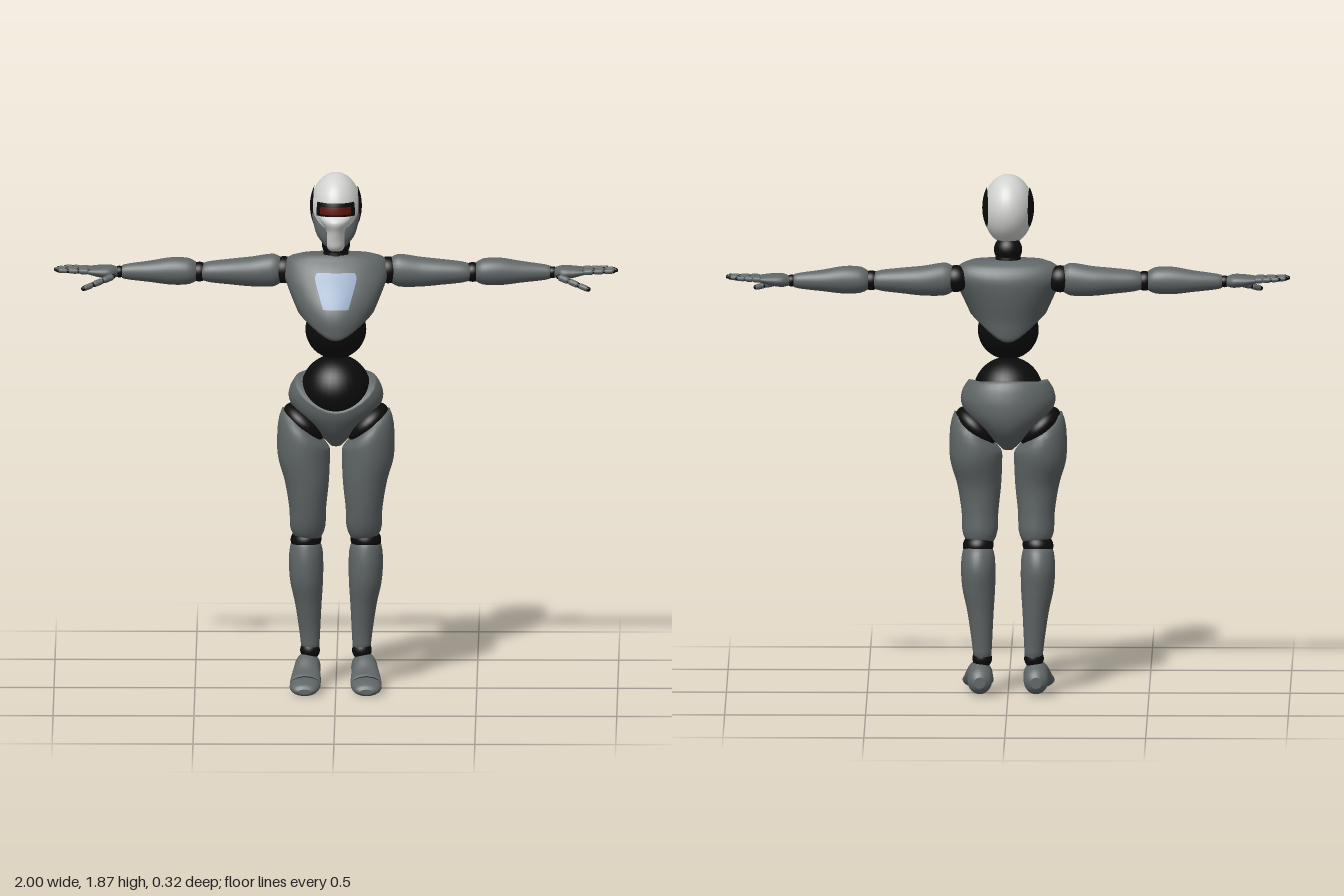
import * as THREE from 'three';

const paint = (name, color) => Object.assign(new THREE.MeshStandardMaterial({ color }), { name });
const grey = paint('armourGrey', 0x5f6566);
const black = paint('jointBlack', 0x0b0b0b);
const white = paint('helmetWhite', 0xd2d2d0);
const red = paint('visorRed', 0x5c120c);
const blue = paint('chestBlue', 0x8fa5c0);

const SIDES = 32;

// Smooth interpolation of a table of sections keyed on their first value
function sample(secs, t) {
  const n = secs.length;
  let i = 0;
  while (i < n - 2 && t > secs[i + 1][0]) i++;
  const a = secs[i], b = secs[i + 1], h = b[0] - a[0];
  const u = THREE.MathUtils.clamp((t - a[0]) / h, 0, 1);
  const slope = (k, c) => {
    const p = secs[Math.max(k - 1, 0)], q = secs[Math.min(k + 1, n - 1)];
    return ((q[c] ?? 0) - (p[c] ?? 0)) / (q[0] - p[0]);
  };
  const u2 = u * u, u3 = u2 * u;
  return [0, 1, 2, 3, 4, 5].map((c) => (2 * u3 - 3 * u2 + 1) * (a[c] ?? 0) + (3 * u2 - 2 * u3) * (b[c] ?? 0)
    + (u3 - 2 * u2 + u) * h * slope(i, c) + (u3 - u2) * h * slope(i + 1, c));
}

// Skin closed rings of points, closing both ends
function skin(rings) {
  const shrink = (ring, s) => {
    const c = ring.reduce((m, p) => m.add(p), new THREE.Vector3()).divideScalar(ring.length);
    return ring.map((p) => p.clone().lerp(c, 1 - s));
  };
  const first = rings[0], last = rings[rings.length - 1];
  const rows = [shrink(first, 0), shrink(first, 0.85), ...rings, shrink(last, 0.85), shrink(last, 0)];
  const index = [];
  for (let r = 0; r < rows.length - 1; r++) for (let j = 0; j < SIDES; j++) {
    const k = (j + 1) % SIDES, a = r * SIDES, b = a + SIDES;
    index.push(a + j, b + j, a + k, b + j, b + k, a + k);
  }
  const geo = new THREE.BufferGeometry().setFromPoints(rows.flat());
  geo.setIndex(index);
  geo.computeVertexNormals();
  return geo;
}

const ring = (fn) => Array.from({ length: SIDES }, (_, j) => fn((j / SIDES) * Math.PI * 2));

// Limb along an axis; sections: [position, centreA, centreB, radiusA, radiusB, tilt]
function loft(axis, secs, steps = 22) {
  const t0 = secs[0][0], t1 = secs[secs.length - 1][0];
  return skin(Array.from({ length: steps + 1 }, (_, i) => {
    const [t, ca, cb, ra, rb, tilt] = sample(secs, t0 + ((t1 - t0) * i) / steps);
    return ring((q) => {
      const a = ca + ra * Math.cos(q), b = cb + rb * Math.sin(axis === 'y' ? q : -q);
      if (axis === 'x') return new THREE.Vector3(t, a, b);
      if (axis === 'z') return new THREE.Vector3(a, b, t);
      return new THREE.Vector3(a, t + tilt * (a - ca), b);
    });
  }));
}

// Body shell with curved rims; sections: [y, centreZ, halfWidth, frontDepth, backDepth]
function shell(secs, bottom, top, steps = 22) {
  return skin(Array.from({ length: steps + 1 }, (_, i) => ring((q) => {
    const s = Math.sin(q), y = THREE.MathUtils.lerp(bottom(s), top(s), i / steps);
    const [, cz, rx, rf, rb] = sample(secs, y);
    return new THREE.Vector3(rx * Math.cos(q), y, cz + (s > 0 ? rf : rb) * s);
  })));
}

const ball = (x, y, z, rx, ry = rx, rz = rx, roll = 0) =>
  new THREE.SphereGeometry(1, 32, 24).scale(rx, ry, rz).rotateZ(roll).translate(x, y, z);

// Rounded bar between two points
function bar(p, q, r) {
  const dir = q.clone().sub(p);
  const turn = new THREE.Quaternion().setFromUnitVectors(new THREE.Vector3(0, 1, 0), dir.clone().normalize());
  const mid = p.clone().add(q).multiplyScalar(0.5);
  return new THREE.CapsuleGeometry(r, dir.length(), 4, 12).applyQuaternion(turn).translate(mid.x, mid.y, mid.z);
}

function mirrored(geo) {
  const m = geo.clone().scale(-1, 1, 1), ix = m.index.array;
  for (let i = 0; i < ix.length; i += 3) [ix[i], ix[i + 1]] = [ix[i + 1], ix[i]];
  return m;
}

export function createModel() {
  const model = new THREE.Group();
  model.name = 'robotFigure';
  const add = (name, geo, mat) => {
    const mesh = new THREE.Mesh(geo, mat);
    mesh.name = name;
    model.add(mesh);
  };
  const pair = (name, geo, mat) => {
    add(name + 'Left', geo, mat);
    add(name + 'Right', mirrored(geo), mat);
  };

  // Head: cranium, mask, cheeks, visor and ear covers
  add('cranium', ball(0, 1.74, -0.006, 0.09, 0.125, 0.125), white);
  add('faceMask', loft('y', [[1.6, 0, 0.07, 0.024, 0.03], [1.612, 0, 0.07, 0.032, 0.043], [1.64, 0, 0.07, 0.035, 0.05],
    [1.675, 0, 0.07, 0.036, 0.06], [1.71, 0, 0.06, 0.058, 0.081], [1.735, 0, 0.045, 0.07, 0.068],
    [1.755, 0, 0.03, 0.055, 0.045]]), white);
  add('cheeks', loft('y', [[1.615, 0, 0.06, 0.04, 0.035], [1.65, 0, 0.055, 0.066, 0.045], [1.7, 0, 0.045, 0.081, 0.05],
    [1.735, 0, 0.035, 0.085, 0.042], [1.76, 0, 0.025, 0.08, 0.03]]), grey);
  const visor = (half, low, high, grow) => new THREE.SphereGeometry(1, 24, 6, Math.PI / 2 - half, half * 2,
    Math.acos((high - 1.74) / 0.125), Math.acos((low - 1.74) / 0.125) - Math.acos((high - 1.74) / 0.125))
    .scale(0.09 + grow, 0.125 + grow, 0.125 + grow).translate(0, 1.74, -0.006);
  add('visor', visor(0.82, 1.728, 1.776, 0.003), black);
  add('visorGlow', visor(0.62, 1.736, 1.762, 0.005), red);
  pair('earCover', new THREE.SphereGeometry(1, 32, 8, 0, Math.PI * 2, 0, 0.6).rotateZ(-Math.PI / 2).rotateY(0.1)
    .scale(0.092, 0.127, 0.127).translate(0, 1.746, -0.006), black);
  add('neck', ball(0, 1.6, -0.038, 0.05), black);
  add('neckBase', new THREE.CylinderGeometry(0.042, 0.05, 0.07, 32).translate(0, 1.56, -0.038), black);

  // Torso
  const torso = [[1.26, 0.01, 0.09, 0.125, 0.11], [1.3, 0.01, 0.105, 0.135, 0.12], [1.35, 0.01, 0.128, 0.138, 0.127],
    [1.4, 0, 0.15, 0.133, 0.13], [1.46, -0.03, 0.175, 0.125, 0.112], [1.5, -0.055, 0.188, 0.118, 0.088],
    [1.53, -0.06, 0.183, 0.1, 0.072], [1.553, -0.055, 0.165, 0.072, 0.058], [1.566, -0.045, 0.125, 0.05, 0.042]];
  add('torso', shell(torso, (s) => 1.37 - (s > 0 ? 0.086 : 0.095) * s * s, () => 1.566), grey);
  const panel = new THREE.PlaneGeometry(2, 1, 12, 8), pos = panel.attributes.position;
  for (let i = 0; i < pos.count; i++) {
    const v = pos.getY(i) + 0.5, y = 1.395 + v * 0.118;
    const x = pos.getX(i) * (0.045 + 0.03 * Math.min(v, 0.85) - 0.06 * Math.max(v - 0.85, 0) + 0.006 * v);
    const [, cz, rx, rf] = sample(torso, y);
    pos.setXYZ(i, x, y, cz + rf * Math.sqrt(1 - (x / rx) ** 2) + 0.004);
  }
  panel.computeVertexNormals();
  add('chestPanel', panel, blue);

  // Waist joints and pelvis
  add('upperWaist', ball(0, 1.303, 0.016, 0.108, 0.105, 0.112), black);
  add('lowerWaist', ball(0, 1.083, 0, 0.124, 0.124, 0.13), black);
  add('pelvis', shell([[0.88, -0.01, 0.02, 0.035, 0.04], [0.91, -0.012, 0.05, 0.07, 0.085], [0.95, -0.015, 0.092, 0.105, 0.12],
    [1, -0.015, 0.142, 0.13, 0.14], [1.05, -0.015, 0.167, 0.135, 0.142], [1.09, -0.015, 0.163, 0.13, 0.135],
    [1.12, -0.015, 0.147, 0.12, 0.125], [1.14, -0.015, 0.13, 0.11, 0.112]],
    () => 0.88, (s) => 1.13 - (s > 0 ? 0.11 : -0.01) * s * s), grey);

  // Legs
  pair('hipJoint', ball(0.112, 0.962, -0.01, 0.088, 0.05, 0.098, 0.7), black);
  pair('thigh', loft('y', [[0.55, 0.102, -0.014, 0.05, 0.055, 0.1], [0.58, 0.1, -0.01, 0.062, 0.068],
    [0.65, 0.1, 0, 0.065, 0.077], [0.75, 0.103, 0.005, 0.078, 0.088], [0.85, 0.114, -0.005, 0.093, 0.108],
    [0.92, 0.115, -0.005, 0.09, 0.106, 0.5], [0.952, 0.115, -0.005, 0.076, 0.09, 0.8]]), grey);
  pair('kneeJoint', ball(0.106, 0.535, -0.022, 0.055, 0.045, 0.063, -0.15), black);
  pair('calf', loft('y', [[0.14, 0.091, -0.04, 0.032, 0.033], [0.2, 0.093, -0.04, 0.037, 0.039], [0.3, 0.098, -0.035, 0.047, 0.057],
    [0.38, 0.104, -0.03, 0.058, 0.075], [0.45, 0.106, -0.031, 0.061, 0.082], [0.5, 0.106, -0.028, 0.058, 0.074],
    [0.53, 0.107, -0.024, 0.05, 0.062]]), grey);
  pair('ankleJoint', ball(0.092, 0.13, -0.038, 0.035), black);
  pair('foot', loft('z', [[-0.112, 0.1, 0.052, 0.022, 0.022], [-0.095, 0.1, 0.053, 0.04, 0.042], [-0.04, 0.1, 0.066, 0.046, 0.058],
    [0, 0.103, 0.064, 0.047, 0.05], [0.045, 0.106, 0.044, 0.053, 0.036], [0.085, 0.108, 0.035, 0.055, 0.028]]), grey);
  pair('toeJoint', ball(0.108, 0.033, 0.09, 0.052, 0.026, 0.02), black);
  pair('toe', loft('z', [[0.097, 0.108, 0.031, 0.055, 0.028], [0.13, 0.11, 0.026, 0.052, 0.026],
    [0.155, 0.11, 0.021, 0.041, 0.019], [0.165, 0.11, 0.018, 0.026, 0.01]]), grey);

  // Arms
  pair('shoulderJoint', ball(0.185, 1.5, -0.07, 0.048), black);
  pair('upperArm', loft('x', [[0.195, 1.5, -0.07, 0.045, 0.04], [0.22, 1.499, -0.07, 0.058, 0.05], [0.3, 1.493, -0.073, 0.053, 0.052],
    [0.38, 1.493, -0.07, 0.045, 0.048], [0.45, 1.493, -0.068, 0.037, 0.041], [0.475, 1.493, -0.068, 0.03, 0.034]]), grey);
  pair('elbowJoint', ball(0.485, 1.493, -0.068, 0.035), black);
  pair('forearm', loft('x', [[0.497, 1.494, -0.068, 0.034, 0.036], [0.52, 1.495, -0.068, 0.046, 0.046], [0.58, 1.495, -0.07, 0.049, 0.047],
    [0.66, 1.493, -0.073, 0.038, 0.039], [0.74, 1.492, -0.073, 0.028, 0.027], [0.76, 1.492, -0.072, 0.023, 0.023]]), grey);
  pair('wristJoint', ball(0.768, 1.492, -0.071, 0.021), black);
  pair('palm', loft('x', [[0.775, 1.492, -0.07, 0.017, 0.024], [0.8, 1.493, -0.066, 0.024, 0.043], [0.84, 1.495, -0.066, 0.021, 0.045],
    [0.88, 1.498, -0.067, 0.013, 0.042]]), grey);

  // Fingers and thumb: three knuckled segments over a dark core
  const digit = (name, p, q, r) => {
    pair(name + 'Core', bar(p, q, r * 0.7), black);
    for (let k = 0; k < 3; k++) {
      const at = (u) => p.clone().lerp(q, u);
      pair(name + 'Segment' + (k + 1), bar(at(k / 3 + 0.09), at(k / 3 + 0.27), r * (1 - 0.08 * k)), grey);
    }
  };
  [['index', -0.034, 0.985], ['middle', -0.056, 0.994], ['ring', -0.078, 0.985], ['little', -0.099, 0.96]]
    .forEach(([name, z, tip]) => digit(name + 'Finger', new THREE.Vector3(0.875, 1.499, z), new THREE.Vector3(tip, 1.503, z), 0.0105));
  digit('thumb', new THREE.Vector3(0.79, 1.485, -0.022), new THREE.Vector3(0.895, 1.451, 0.032), 0.0125);

  return model;
}
